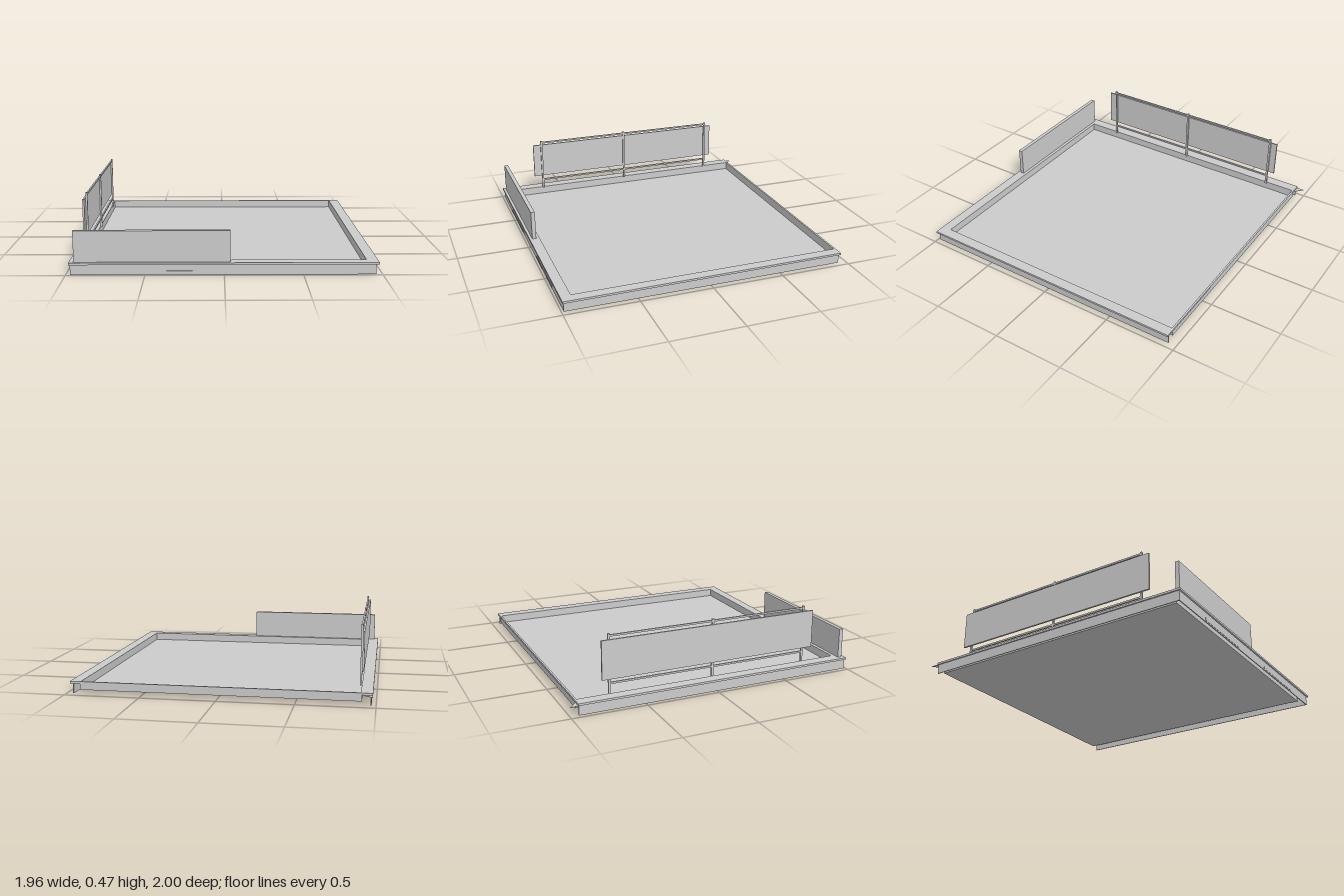
import * as THREE from 'three';

const material = new THREE.MeshStandardMaterial({ color: 0xcccccc, flatShading: true, side: THREE.DoubleSide });

// Box given by its minimum and maximum corners
function box(parent, name, [x0, y0, z0], [x1, y1, z1]) {
  const mesh = new THREE.Mesh(new THREE.BoxGeometry(x1 - x0, y1 - y0, z1 - z0), material);
  mesh.position.set((x0 + x1) / 2, (y0 + y1) / 2, (z0 + z1) / 2);
  mesh.name = name;
  parent.add(mesh);
  return mesh;
}

// Horizontal plate from an outline of [x, z] points, with optional hole
function plate(parent, name, outline, hole, y0, y1) {
  const toPoints = (list) => list.map(([x, z]) => new THREE.Vector2(x, -z));
  const shape = new THREE.Shape(toPoints(outline));
  if (hole) shape.holes.push(new THREE.Path(toPoints(hole)));
  const geometry = new THREE.ExtrudeGeometry(shape, { depth: y1 - y0, bevelEnabled: false });
  geometry.rotateX(-Math.PI / 2);
  const mesh = new THREE.Mesh(geometry, material);
  mesh.position.y = y0;
  mesh.name = name;
  parent.add(mesh);
}

const rect = (x0, x1, z0, z1) => [[x0, z0], [x1, z0], [x1, z1], [x0, z1]];

export function createModel() {
  const model = new THREE.Group();
  model.name = 'flatRoof';

  // Roof deck, sunk below the parapet
  const deck = new THREE.Mesh(new THREE.PlaneGeometry(1.81, 1.86), material);
  deck.rotation.x = -Math.PI / 2;
  deck.position.set(0, 0.025, -0.005);
  deck.name = 'roofDeck';
  model.add(deck);

  // Parapet: inner walls, overhanging coping and outer fascia
  const parapet = new THREE.Group();
  parapet.name = 'parapet';
  model.add(parapet);
  plate(parapet, 'innerWall', rect(-0.912, 0.912, -0.945, 0.932), rect(-0.905, 0.905, -0.935, 0.925), 0.025, 0.075);
  plate(parapet, 'coping', rect(-0.98, 0.978, -0.948, 0.995), rect(-0.905, 0.905, -0.935, 0.925), 0.066, 0.08);
  box(parapet, 'frontFascia', [-0.972, 0, 0.979], [0.96, 0.066, 0.985]);
  box(parapet, 'leftFascia', [0.954, 0, -0.943], [0.96, 0.066, 0.985]);
  box(parapet, 'rightFascia', [-0.972, 0, -0.943], [-0.966, 0.066, 0.985]);
  plate(parapet, 'cornerFlashing', [[-0.98, -1], [-0.92, -0.948], [-0.98, -0.948]], null, 0.063, 0.066);

  // Thin plates along the bottom of the front fascia
  for (const side of [-1, 1]) {
    const plateMesh = box(model, 'fasciaPlate', [-0.225, 0.008, 0.983], [0.225, 0.026, 0.987]);
    plateMesh.position.x = side * 0.425;
  }

  // Long panel standing on the front coping
  box(model, 'frontPanel', [-0.95, 0.08, 0.948], [0.038, 0.283, 0.976]);

  // Side panel carried by posts and two rails
  const sidePanel = new THREE.Group();
  sidePanel.name = 'sidePanelFrame';
  model.add(sidePanel);
  for (const z of [-0.717, -0.002, 0.68]) {
    box(sidePanel, 'post', [-0.904, 0.075, z - 0.007], [-0.892, 0.47, z + 0.007]);
  }
  for (const y of [0.146, 0.456]) {
    box(sidePanel, 'rail', [-0.904, y - 0.006, -0.717], [-0.893, y + 0.006, 0.68]);
  }
  box(sidePanel, 'panel', [-0.917, 0.177, -0.77], [-0.905, 0.435, 0.745]);

  return model;
}
